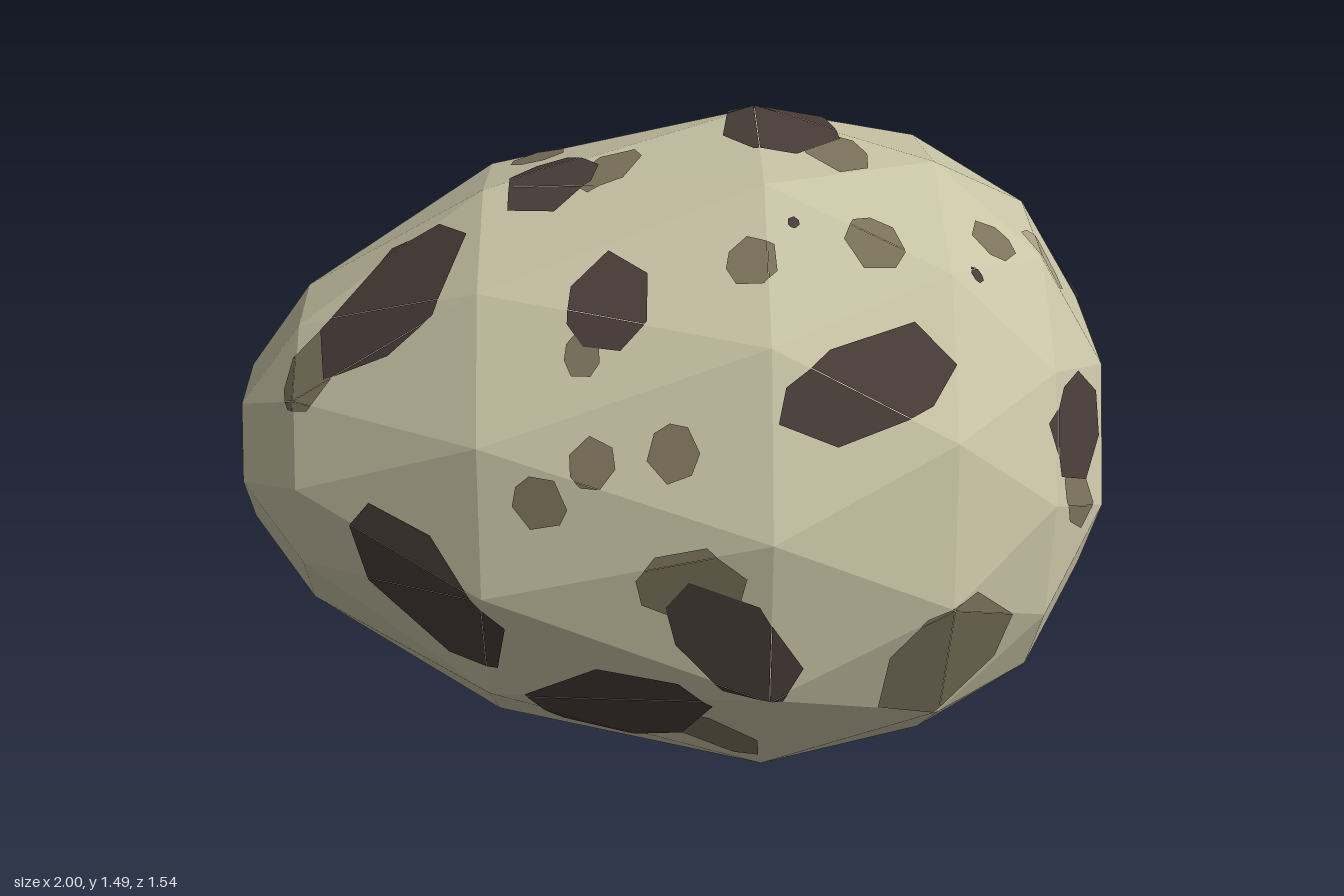
import * as THREE from 'three';
import { ConvexGeometry } from 'three/addons/geometries/ConvexGeometry.js';

const V = (x, y, z) => new THREE.Vector3(x, y, z);

// Faceted egg: staggered rings along a slightly turned axis [along, radius]
const RINGS = [[0.94, 0.315], [0.787, 0.55], [0.556, 0.7], [0.172, 0.77], [-0.433, 0.642], [-0.85, 0.373], [-1, 0.178]];
function eggGeometry() {
  const points = [];
  const addPoint = (along, y, v) =>
    points.push(V(0.97 * along + 0.242 * v + 0.011, 0.745 + y, -0.242 * along + 0.97 * v + 0.045));
  addPoint(1, 0, 0);
  RINGS.forEach(([along, radius], ring) => {
    const sides = ring % 6 === 0 ? 6 : 12; // the end rings have half the corners
    const phase = ring % 2 === 0 && sides === 12 ? 0 : Math.PI / sides;
    for (let i = 0; i < sides; i++) {
      const a = phase + (i * 2 * Math.PI) / sides;
      addPoint(along, radius * Math.cos(a), radius * Math.sin(a));
    }
  });
  addPoint(-1.03, 0, 0);
  return new ConvexGeometry(points);
}

// Projection frames for the spots: right, up and direction faced
const frame = (azimuth, elevation) => {
  const turn = new THREE.Euler(-elevation, azimuth, 0, 'YXZ');
  return [V(1, 0, 0), V(0, 1, 0), V(0, 0, 1)].map((axis) => axis.applyEuler(turn));
};
const FRAMES = {
  front: frame(0, 0),
  side: frame(Math.PI / 2, 0),
  top: frame(0, Math.PI / 2),
  back: frame(-Math.PI * 0.75, 0.577),
};

// Irregular convex outline with its corners on a tilted ellipse
function outlineOf([x, y, rx, ry = rx, tilt = 0]) {
  const t = THREE.MathUtils.degToRad(tilt);
  return Array.from({ length: 7 }, (_, i) => {
    const a = ((i + 0.25 * Math.sin(i * 5 + x * 20)) / 7) * Math.PI * 2;
    const p = rx * Math.cos(a), q = ry * Math.sin(a);
    return [x + p * Math.cos(t) - q * Math.sin(t), y + p * Math.sin(t) + q * Math.cos(t)];
  });
}

// Cut the part of the shell lying under an outline and lift it slightly
function spotGeometry(shell, [right, up, facing], outline, lift) {
  const pos = shell.attributes.position, out = [];
  for (let t = 0; t < pos.count; t += 3) {
    let cut = [0, 1, 2].map((k) => V().fromBufferAttribute(pos, t + k));
    const normal = new THREE.Triangle(...cut).getNormal(V());
    if (normal.dot(facing) < 0.02) continue;
    outline.forEach((a, i) => {
      const b = outline[(i + 1) % outline.length];
      const inside = (p) => (b[0] - a[0]) * (p.dot(up) - a[1]) - (b[1] - a[1]) * (p.dot(right) - a[0]);
      const next = [];
      cut.forEach((p, k) => {
        const q = cut[(k + 1) % cut.length], dp = inside(p), dq = inside(q);
        if (dp >= 0) next.push(p);
        if (dp * dq < 0) next.push(p.clone().lerp(q, dp / (dp - dq)));
      });
      cut = next;
    });
    for (let k = 1; k < cut.length - 1; k++) {
      for (const p of [cut[0], cut[k], cut[k + 1]]) out.push(...p.clone().addScaledVector(normal, lift).toArray());
    }
  }
  const geometry = new THREE.BufferGeometry();
  geometry.setAttribute('position', new THREE.Float32BufferAttribute(out, 3));
  geometry.computeVertexNormals();
  return geometry;
}

// Spots by facing: [across, up, radius, second radius, tilt in degrees]
const DARK = {
  front: [
    [-0.39, 0.7, 0.23, 0.13, -42], [0.28, 0.69, 0.18, 0.11, -50], [0.02, 0.44, 0.22, 0.14, 12],
    [0.5, 1.2, 0.17, 0.09, 8], [-0.56, 1.2, 0.21, 0.065, 38], [-0.045, 1.31, 0.09, 0.07],
  ],
  side: [[-0.19, 0.975, 0.145, 0.12], [0.43, 1.04, 0.19, 0.14, 120], [0.625, 0.63, 0.012]],
  top: [[0.2, 0.14, 0.18, 0.14, 100], [-0.26, -0.125, 0.13, 0.1, 80], [0.3, -0.26, 0.013], [0.68, -0.2, 0.015]],
  back: [[0.015, 0.72, 0.16], [0.3, 0.275, 0.145, 0.085]],
};
const BROWN = {
  front: [
    [0.19, 0.83, 0.12, 0.09, 20], [0.22, 0.35, 0.13, 0.065, -40], [0.7, 0.58, 0.2, 0.115, 65],
    [-0.72, 1.06, 0.09, 0.05, 50], [-0.08, 1.235, 0.04], [-0.134, 0.97, 0.06], [-0.03, 1.06, 0.05], [0.134, 1.09, 0.055],
  ],
  side: [[-0.25, 0.84, 0.1, 0.06, 120], [0.4, 0.645, 0.075], [0.275, 0.43, 0.09, 0.06]],
  top: [
    [0.34, 0.03, 0.11, 0.07, 120], [-0.14, -0.09, 0.1, 0.06, 70], [-0.185, 0.3, 0.06],
    [-0.355, 0.1, 0.065], [0.235, -0.36, 0.055], [0.47, -0.24, 0.065], [0.7, -0.055, 0.052],
  ],
  back: [[0.578, 0.62, 0.054], [0.77, 0.385, 0.07], [0.2, 0.074, 0.05]],
};
const PALE = { side: [[0.066, 1.24, 0.065]], top: [[-0.185, 0.3, 0.085]] };

export function createModel() {
  const group = new THREE.Group();
  group.name = 'speckledEgg';
  const material = (name, color) => Object.assign(new THREE.MeshStandardMaterial({ color }), { name });
  const add = (name, geometry, mat) => {
    const mesh = new THREE.Mesh(geometry, mat);
    mesh.name = name;
    group.add(mesh);
  };

  // Shell
  const shell = eggGeometry();
  add('shell', shell, material('shell cream', 0xc8c3a5));

  // Spots, the darker ones lying over the paler ones
  const addSpots = (name, spots, mat, lift) => {
    for (const [facing, list] of Object.entries(spots)) {
      for (const spot of list) add(name, spotGeometry(shell, FRAMES[facing], outlineOf(spot), lift), mat);
    }
  };
  addSpots('paleSpot', PALE, material('pale spot', 0xa59e82), 0.002);
  addSpots('brownSpot', BROWN, material('brown spot', 0x7b725b), 0.004);
  addSpots('darkSpot', DARK, material('dark spot', 0x483c38), 0.006);
  return group;
}
